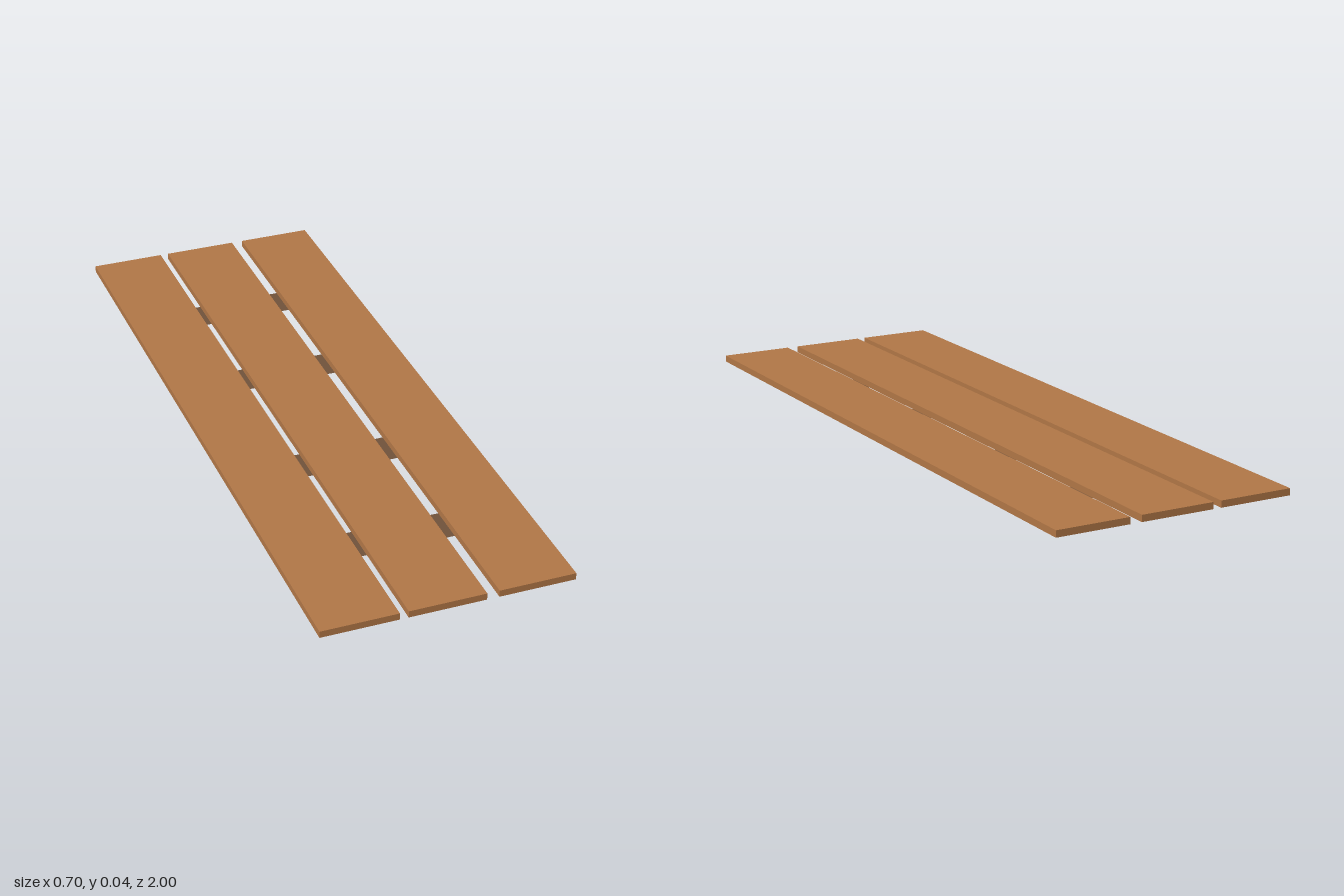
import * as THREE from 'three';

const plankWood = new THREE.MeshStandardMaterial({ color: 0xb07646 });
plankWood.name = 'plank wood';
const battenWood = new THREE.MeshStandardMaterial({ color: 0x70523a, side: THREE.DoubleSide });
battenWood.name = 'dark batten wood';

export function createModel() {
  const model = new THREE.Group();
  model.name = 'plankWalkway';

  // Three long boards with slightly uneven gaps
  const plankGeometry = new THREE.BoxGeometry(0.214, 0.019, 2);
  [['rightPlank', -0.243], ['middlePlank', -0.005], ['leftPlank', 0.243]].forEach(([name, x]) => {
    const plank = new THREE.Mesh(plankGeometry, plankWood);
    plank.name = name;
    plank.position.set(x, 0.0325, 0);
    model.add(plank);
  });

  // Four flat cross battens lying on the ground beneath the boards
  const battenGeometry = new THREE.PlaneGeometry(0.46, 0.112).rotateX(-Math.PI / 2);
  [-0.655, -0.257, 0.23, 0.63].forEach((z, i) => {
    const batten = new THREE.Mesh(battenGeometry, battenWood);
    batten.name = `crossBatten${i + 1}`;
    batten.position.set(-0.023, 0, z);
    model.add(batten);
  });

  return model;
}
